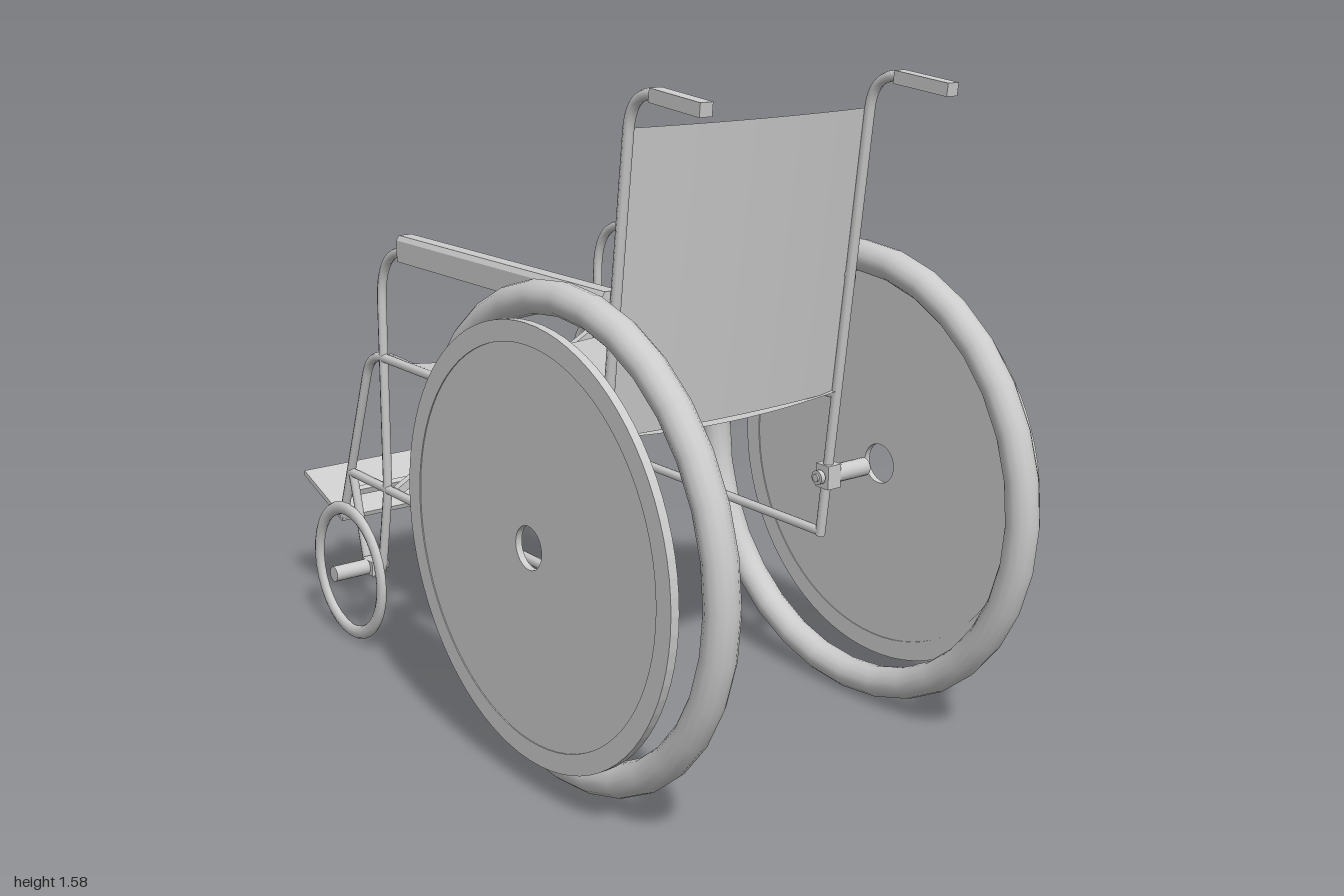
import * as THREE from 'three';

const material = new THREE.MeshStandardMaterial({ color: 0xcccccc });
const thin = new THREE.MeshStandardMaterial({ color: 0xcccccc, side: THREE.DoubleSide });
const TUBE = 0.0125;

export function createModel() {
  const root = new THREE.Group();
  root.name = 'wheelchair';

  const add = (parent, name, geometry, x = 0, y = 0, z = 0, mat = material) => {
    const mesh = new THREE.Mesh(geometry, mat);
    mesh.name = name;
    mesh.position.set(x, y, z);
    parent.add(mesh);
    return mesh;
  };

  // Bent tube in the plane of one side frame, with rounded corners
  const bentTube = (parent, name, points, bend, z) => {
    const p = points.map(([x, y]) => new THREE.Vector3(x, y, z));
    const path = new THREE.CurvePath();
    let from = p[0];
    for (let i = 1; i < p.length - 1; i++) {
      const toward = (q) => p[i].clone().add(q.clone().sub(p[i]).setLength(bend[i - 1]));
      const a = toward(p[i - 1]), b = toward(p[i + 1]);
      path.add(new THREE.LineCurve3(from, a));
      path.add(new THREE.QuadraticBezierCurve3(a, p[i], b));
      from = b;
    }
    path.add(new THREE.LineCurve3(from, p[p.length - 1]));
    const steps = points.length > 2 ? 100 : 1;
    add(parent, name, new THREE.TubeGeometry(path, steps, TUBE, 8), 0, 0, 0, thin);
  };

  // Cylinder along z between two depths
  const rod = (parent, name, x, y, z0, z1, r) => {
    const g = new THREE.CylinderGeometry(r, r, Math.abs(z1 - z0), 16).rotateX(Math.PI / 2);
    add(parent, name, g, x, y, (z0 + z1) / 2);
  };

  // Flat ring or disc with a hole, centred on its own plane
  const ring = (outer, inner, depth) => {
    const shape = new THREE.Shape().absarc(0, 0, outer, 0, Math.PI * 2);
    shape.holes.push(new THREE.Path().absarc(0, 0, inner, 0, Math.PI * 2, true));
    return new THREE.ExtrudeGeometry(shape, { depth, bevelEnabled: false, curveSegments: 40 })
      .translate(0, 0, -depth / 2);
  };

  for (const s of [1, -1]) {
    const side = new THREE.Group();
    side.name = s > 0 ? 'nearSide' : 'farSide';
    root.add(side);
    const z = 0.346 * s;

    // Side frame
    bentTube(side, 'armrestAndCasterTube',
      [[0.48, 1.095], [-0.535, 1.095], [-0.535, 0.43], [-0.578, 0.192], [-0.658, 0.192], [-0.725, 0.435]],
      [0.15, 0.03, 0.012, 0.012], z);
    bentTube(side, 'seatRail', [[0.445, 0.795], [-0.605, 0.795], [-0.787, 0.292]], [0.07], z);
    bentTube(side, 'lowerRail', [[0.4, 0.435], [-0.735, 0.435]], [], z);
    bentTube(side, 'backPost', [[0.4, 0.425], [0.533, 1.575], [0.66, 1.565]], [0.09], z);

    // Push grip
    const grip = add(side, 'pushGrip', new THREE.BoxGeometry(0.165, 0.03, 0.033), 0.694, 1.559, z);
    grip.rotation.z = -0.1;

    // Armrest pad with a chamfered top
    const pad = new THREE.Shape([[-0.026, 0], [0.026, 0], [0.026, 0.054], [0.018, 0.066],
      [-0.018, 0.066], [-0.026, 0.054]].map(([a, b]) => new THREE.Vector2(a, b)));
    const padGeometry = new THREE.ExtrudeGeometry(pad, { depth: 0.87, bevelEnabled: false });
    add(side, 'armrestPad', padGeometry.rotateY(Math.PI / 2), -0.402, 1.073, 0.348 * s);

    // Rear wheel: tyre, outer disc and push rim
    const wheel = new THREE.Group();
    wheel.name = 'rearWheel';
    wheel.position.set(0.42, 0.583, 0);
    side.add(wheel);
    add(wheel, 'tyre', new THREE.TorusGeometry(0.54, 0.039, 14, 32), 0, 0, 0.44 * s);
    add(wheel, 'pushRim', ring(0.503, 0.455, 0.021), 0, 0, 0.53 * s);
    add(wheel, 'wheelDisc', ring(0.456, 0.05, 0.016), 0, 0, 0.53 * s);

    // Rear axle
    add(side, 'axleBracket', new THREE.BoxGeometry(0.045, 0.06, 0.042), 0.42, 0.585, 0.349 * s);
    rod(side, 'rearAxle', 0.42, 0.585, 0.36 * s, 0.47 * s, 0.023);
    rod(side, 'axleBolt', 0.42, 0.585, 0.305 * s, 0.36 * s, 0.01);
    rod(side, 'axleNut', 0.42, 0.585, 0.31 * s, 0.323 * s, 0.018);

    // Front caster
    const tyre = new THREE.TorusGeometry(0.172, 0.018, 10, 32).scale(1, 1, 0.65);
    add(side, 'casterTyre', tyre, -0.625, 0.197, 0.42 * s);
    add(side, 'casterBracket', new THREE.BoxGeometry(0.055, 0.04, 0.042), -0.618, 0.197, 0.349 * s);
    rod(side, 'casterAxle', -0.622, 0.197, 0.36 * s, 0.47 * s, 0.021);
    rod(side, 'casterBolt', -0.622, 0.197, 0.305 * s, 0.36 * s, 0.01);
    rod(side, 'casterNut', -0.622, 0.197, 0.31 * s, 0.323 * s, 0.017);

    // One half of the folding cross brace
    const brace = add(root, 'crossBrace',
      new THREE.BoxGeometry(0.022, 0.022, Math.hypot(0.68, 0.37)), -0.51, 0.614, 0);
    brace.rotation.x = s * Math.atan2(0.37, 0.68);
  }

  // Sagging seat sling
  const seat = new THREE.PlaneGeometry(0.85, 0.68, 1, 12).rotateX(-Math.PI / 2);
  const sp = seat.attributes.position;
  for (let i = 0; i < sp.count; i++) {
    sp.setY(i, -0.02 * (1 - (sp.getZ(i) / 0.34) ** 2));
  }
  seat.computeVertexNormals();
  add(root, 'seat', seat, 0.025, 0.805, 0, thin);

  // Backrest sling, leaning with the posts and bowed to the rear
  const back = new THREE.PlaneGeometry(0.68, 0.69, 12, 1).rotateY(Math.PI / 2);
  const bp = back.attributes.position;
  for (let i = 0; i < bp.count; i++) {
    const bow = 1 - (bp.getZ(i) / 0.34) ** 2;
    bp.setX(i, 0.116 * bp.getY(i) + 0.024 * bow);
  }
  back.computeVertexNormals();
  add(root, 'backrest', back, 0.475, 1.145, 0, thin);

  // Footplate and its crossbar
  const plate = add(root, 'footplate',
    new THREE.BoxGeometry(0.235, 0.014, 0.71), -0.89, 0.327, 0);
  plate.rotation.z = -Math.atan2(0.078, 0.215);
  const bar = add(root, 'footplateCrossbar',
    new THREE.BoxGeometry(0.018, 0.018, 0.68), -0.763, 0.366, 0);
  bar.rotation.z = -0.35;

  return root;
}
